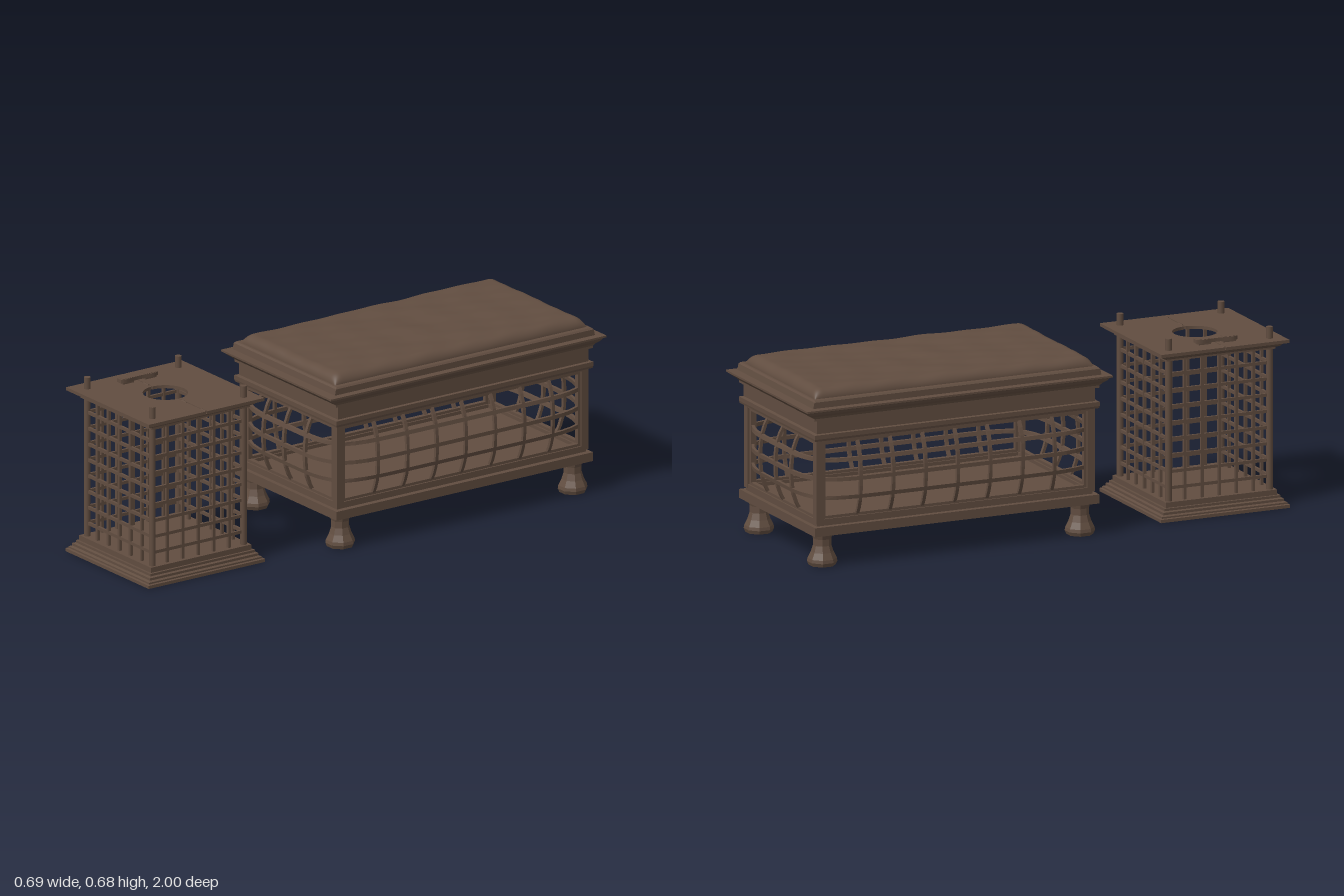
import * as THREE from 'three';

const wood = new THREE.MeshStandardMaterial({ color: 0x614d40 });
wood.name = 'brownWood';

function add(parent, name, geo, x = 0, y = 0, z = 0) {
  const m = new THREE.Mesh(geo, wood);
  m.name = name;
  m.position.set(x, y, z);
  parent.add(m);
  return m;
}

// Rectangular moulding: sections [halfX, halfZ, y]; closed joins last to first, otherwise capped
function moulding(sections, closed = false) {
  const corner = (s, i) => {
    const [sx, sz] = [[1, 1], [1, -1], [-1, -1], [-1, 1]][i % 4];
    return [s[0] * sx, s[2], s[1] * sz];
  };
  const pos = [];
  const quad = (a, b, c, d) => pos.push(...a, ...b, ...c, ...a, ...c, ...d);
  const n = sections.length;
  for (let k = 0; k < (closed ? n : n - 1); k++) {
    const lo = sections[k], hi = sections[(k + 1) % n];
    for (let i = 0; i < 4; i++) quad(corner(lo, i), corner(lo, i + 1), corner(hi, i + 1), corner(hi, i));
  }
  if (!closed) {
    const b = sections[0], t = sections[n - 1];
    quad(corner(b, 3), corner(b, 2), corner(b, 1), corner(b, 0));
    quad(corner(t, 0), corner(t, 1), corner(t, 2), corner(t, 3));
  }
  const g = new THREE.BufferGeometry();
  g.setAttribute('position', new THREE.Float32BufferAttribute(pos, 3));
  g.computeVertexNormals();
  return g;
}

// Flat rectangular frame facing +z, centred on its depth
function frame(w, y0, y1, ow, oy0, oy1, depth) {
  const rect = (P, hw, a, b) => {
    const p = new P();
    p.moveTo(-hw, a); p.lineTo(hw, a); p.lineTo(hw, b); p.lineTo(-hw, b); p.closePath();
    return p;
  };
  const s = rect(THREE.Shape, w, y0, y1);
  s.holes.push(rect(THREE.Path, ow, oy0, oy1));
  return new THREE.ExtrudeGeometry(s, { depth, bevelEnabled: false }).translate(0, 0, -depth / 2);
}

// Lattice bar pushed outward by the bulge of its panel
function bulgedBar(w, h, u, v, half, nx, ny) {
  const g = new THREE.BoxGeometry(w, h, 0.012, nx, ny, 1).translate(u, v, 0).toNonIndexed();
  const p = g.attributes.position;
  for (let i = 0; i < p.count; i++) {
    const tu = Math.min(1, Math.abs(p.getX(i)) / half);
    const tv = Math.min(1, Math.abs(p.getY(i) - 0.325) / 0.145);
    const power = half > 0.4 ? 9 : 5;
    p.setZ(i, p.getZ(i) + 0.036 * (1 - tu ** power) * (1 - tv ** 2.6));
  }
  g.computeVertexNormals();
  return g;
}

// One latticed wall of the large cage, facing +z
function tablePanel(outer, opening, columns) {
  const panel = new THREE.Group();
  panel.name = 'latticePanel';
  add(panel, 'outerFrame', frame(outer, 0.165, 0.48, opening + 0.02, 0.18, 0.47, 0.03));
  add(panel, 'innerFrame', frame(outer - 0.01, 0.17, 0.475, opening, 0.19, 0.46, 0.018));
  for (let i = 1; i < columns; i++) {
    const u = -opening + (2 * opening * i) / columns;
    add(panel, 'verticalBar', bulgedBar(0.013, 0.29, u, 0.325, opening, 1, 10));
  }
  for (const v of [0.257, 0.327, 0.399]) {
    add(panel, 'horizontalBar', bulgedBar(2 * opening + 0.01, 0.015, 0, v, opening, 24, 1));
  }
  return panel;
}

// Soft wrinkled cushion, closed underneath by the table top
function cushionGeometry() {
  const hx = 0.298, hz = 0.567;
  const g = new THREE.PlaneGeometry(2, 2, 70, 120).rotateX(-Math.PI / 2);
  const p = g.attributes.position;
  for (let i = 0; i < p.count; i++) {
    // crowd the grid towards the rounded rim
    const x = Math.sin((p.getX(i) * Math.PI) / 2) * hx;
    const z = Math.sin((p.getZ(i) * Math.PI) / 2) * hz;
    const dx = Math.min(1, (hx - Math.abs(x)) / 0.04);
    const dz = Math.min(1, (hz - Math.abs(z)) / 0.04);
    const rim = Math.sqrt(Math.max(0, 1 - (1 - dx) ** 2) * Math.max(0, 1 - (1 - dz) ** 2));
    const folds = 0.0016 * Math.sin(21 * x + 9 * z + 2 * Math.sin(7 * z))
      + 0.0012 * Math.sin(34 * z - 17 * x + 2.5 * Math.sin(9 * x))
      + 0.0008 * Math.sin(60 * x + 23 * z);
    p.setXYZ(i, x, 0.632 + rim * (0.038 + folds), z);
  }
  g.computeVertexNormals();
  return g;
}

function buildTable() {
  const t = new THREE.Group();
  t.name = 'cageTable';
  // feet
  const profile = [[0, 0], [0.05, 0], [0.056, 0.014], [0.054, 0.026], [0.042, 0.05],
    [0.034, 0.075], [0.034, 0.1], [0.04, 0.122]].map(([r, y]) => new THREE.Vector2(r, y));
  const foot = new THREE.LatheGeometry(profile, 8, Math.PI / 8).toNonIndexed();
  foot.computeVertexNormals();
  for (const sx of [-1, 1]) for (const sz of [-1, 1]) add(t, 'foot', foot, sx * 0.268, 0, sz * 0.523);

  // floor slab
  add(t, 'floorSlab', moulding([[0.322, 0.577, 0.12], [0.322, 0.577, 0.154], [0.3, 0.56, 0.154], [0.3, 0.56, 0.167]]));

  // corner posts
  for (const sx of [-1, 1]) for (const sz of [-1, 1]) {
    add(t, 'cornerPost', new THREE.BoxGeometry(0.03, 0.32, 0.03), sx * 0.293, 0.325, sz * 0.55);
  }
  // four latticed walls
  for (const s of [-1, 1]) {
    const end = tablePanel(0.298, 0.262, 4);
    end.position.z = s * 0.548;
    end.rotation.y = s > 0 ? 0 : Math.PI;
    const side = tablePanel(0.555, 0.525, 8);
    side.position.x = s * 0.291;
    side.rotation.y = (s * Math.PI) / 2;
    t.add(end, side);
  }

  // frieze, cornice and top rim
  add(t, 'cornice', moulding([
    [0.32, 0.576, 0.48], [0.322, 0.578, 0.488], [0.322, 0.578, 0.504], [0.311, 0.564, 0.506],
    [0.311, 0.564, 0.555], [0.32, 0.578, 0.557], [0.32, 0.578, 0.566], [0.324, 0.588, 0.575],
    [0.333, 0.602, 0.584], [0.338, 0.612, 0.594], [0.346, 0.62, 0.597], [0.346, 0.62, 0.604],
    [0.322, 0.585, 0.606], [0.322, 0.58, 0.629], [0.316, 0.574, 0.635],
  ]));
  add(t, 'cushion', cushionGeometry());
  return t;
}

function buildSmallCage() {
  const c = new THREE.Group();
  c.name = 'smallCage';
  // stepped base
  add(c, 'base', moulding([[0.262, 0.262, 0], [0.262, 0.262, 0.012], [0.254, 0.254, 0.014],
    [0.254, 0.254, 0.02], [0.245, 0.245, 0.024], [0.245, 0.245, 0.033], [0.235, 0.235, 0.036],
    [0.235, 0.235, 0.045], [0.226, 0.226, 0.045], [0.226, 0.226, 0.065]]));

  // corner rods
  const rod = new THREE.CylinderGeometry(0.0125, 0.0125, 0.62, 12);
  for (const sx of [-1, 1]) for (const sz of [-1, 1]) add(c, 'cornerRod', rod, sx * 0.205, 0.369, sz * 0.205);

  // bar grids on four walls
  const upright = new THREE.BoxGeometry(0.011, 0.55, 0.011);
  const crossbar = new THREE.BoxGeometry(0.41, 0.012, 0.009);
  for (let k = 0; k < 4; k++) {
    const wall = new THREE.Group();
    wall.name = 'barWall';
    wall.rotation.y = (k * Math.PI) / 2;
    for (let i = -2; i <= 2; i++) add(wall, 'upright', upright, i * 0.0695, 0.335, 0.205);
    for (let j = 0; j < 8; j++) add(wall, 'crossbar', crossbar, 0, 0.115 + j * 0.0613, 0.205);
    c.add(wall);
  }

  // crown moulding, open in the middle
  add(c, 'crown', moulding([[0.222, 0.222, 0.597], [0.222, 0.222, 0.604], [0.234, 0.234, 0.609],
    [0.24, 0.24, 0.616], [0.252, 0.252, 0.622], [0.255, 0.255, 0.626], [0.19, 0.19, 0.626],
    [0.19, 0.19, 0.597]], true));

  // lid in two halves around a round opening
  const half = new THREE.Shape();
  const r = 0.083, gap = 0.002;
  half.moveTo(-0.26, gap);
  half.lineTo(-r, gap);
  half.absarc(0, 0, r, Math.PI - 0.024, 0.024, true);
  half.lineTo(0.26, gap);
  half.lineTo(0.26, 0.26);
  half.lineTo(-0.26, 0.26);
  half.closePath();
  const lid = new THREE.ExtrudeGeometry(half, { depth: 0.012, bevelEnabled: false, curveSegments: 32 }).rotateX(-Math.PI / 2);
  for (const turn of [0, Math.PI]) add(c, 'lidHalf', lid, 0, 0.623, 0).rotation.y = turn;

  // hinge pins along the seam
  const pin = new THREE.CylinderGeometry(0.005, 0.005, 0.03, 8).rotateZ(Math.PI / 2);
  for (const x of [-0.24, -0.12, 0.12, 0.24]) add(c, 'hingePin', pin, x, 0.632, 0);

  // waisted latch across the seam
  const latch = new THREE.Shape();
  latch.moveTo(-0.013, -0.083);
  latch.lineTo(0.013, -0.083);
  latch.bezierCurveTo(0.026, -0.06, 0.014, -0.04, 0.014, 0);
  latch.bezierCurveTo(0.014, 0.04, 0.026, 0.06, 0.013, 0.083);
  latch.lineTo(-0.013, 0.083);
  latch.bezierCurveTo(-0.026, 0.06, -0.014, 0.04, -0.014, 0);
  latch.bezierCurveTo(-0.014, -0.04, -0.026, -0.06, -0.013, -0.083);
  const latchGeo = new THREE.ExtrudeGeometry(latch, { depth: 0.014, bevelEnabled: false }).rotateX(-Math.PI / 2);
  add(c, 'latch', latchGeo, -0.176, 0.641, 0);
  for (const z of [-0.05, 0.05]) add(c, 'latchBlock', new THREE.BoxGeometry(0.03, 0.022, 0.05), -0.176, 0.645, z);
  return c;
}

export function createModel() {
  const model = new THREE.Group();
  model.name = 'cageTableSet';
  const table = buildTable();
  table.position.z = -0.38;
  const cage = buildSmallCage();
  cage.position.z = 0.738;
  model.add(table, cage);
  return model;
}
